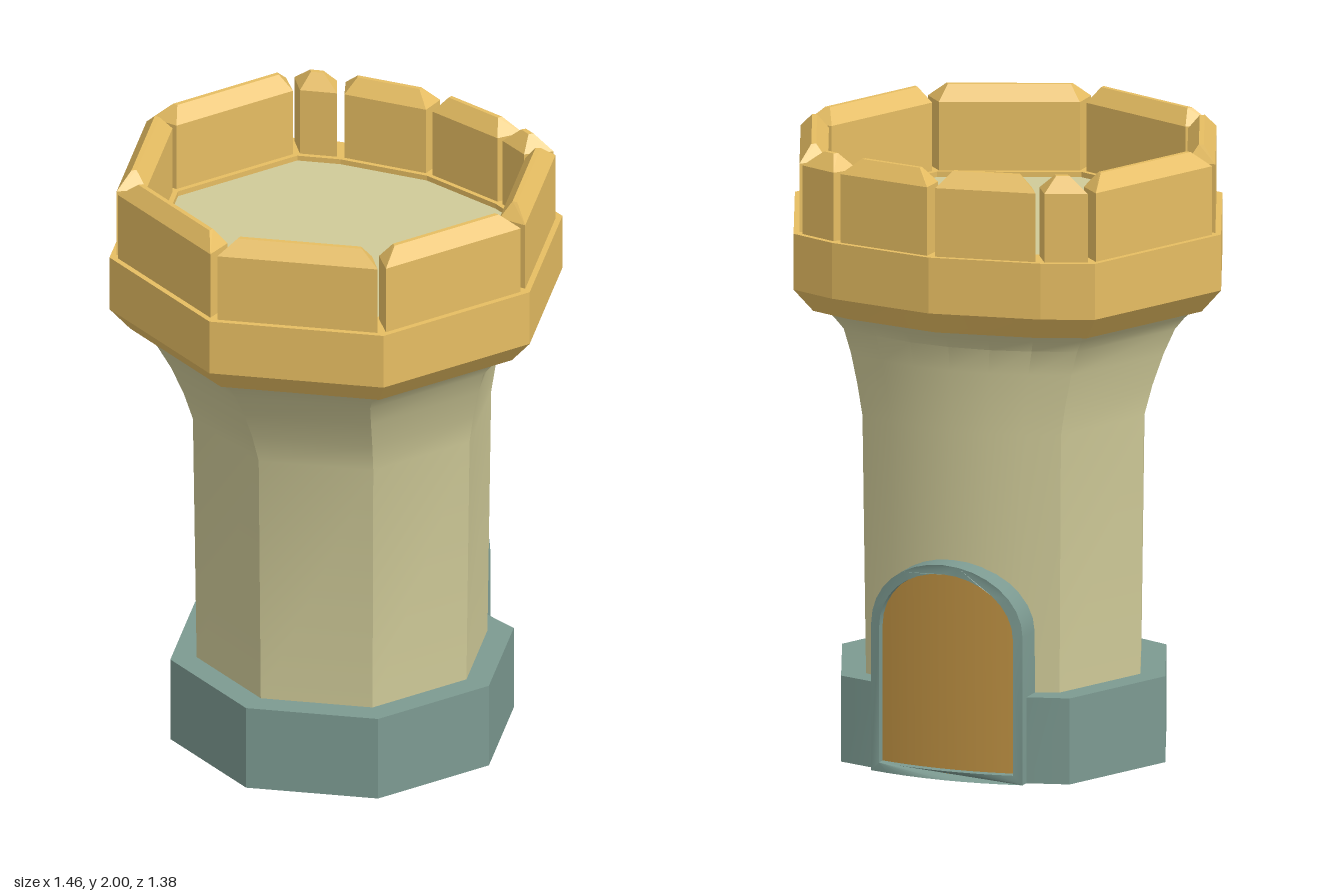
import * as THREE from 'three';
import { toCreasedNormals } from 'three/addons/utils/BufferGeometryUtils.js';
import { ConvexGeometry } from 'three/addons/geometries/ConvexGeometry.js';

const paint = (color) => new THREE.MeshStandardMaterial({ color });
const STONE = paint(0xcfca98), BASE = paint(0x7c9a91), CROWN = paint(0xe6bd62);
const DOOR = paint(0xbd9042);
DOOR.side = THREE.DoubleSide;

// Mirrors a half outline (front to back, x >= 0) into a closed loop
function mirrorOutline(half) {
  const other = half.slice(1, -1).reverse().map(([x, z]) => [-x, z]);
  return [...half, ...other];
}
const S = Math.SQRT1_2;
const octFront = [[0, 1], [S, S], [1, 0], [S, -S]];
const bodyOutline = mirrorOutline([...octFront, [0.47, -0.8], [0.24, -0.86], [0, -0.88]]);
const baseOutline = mirrorOutline([...octFront, [0.47, -0.775], [0.24, -0.81], [0, -0.82]]);
const crownOutline = mirrorOutline([...octFront, [0.49, -0.795], [0, -0.88]]);

// Skins an outline through levels [y, radius, centreZ]
function loft(outline, levels, crease) {
  const pos = [];
  const n = outline.length;
  const at = ([y, r, cz], i) => [outline[i % n][0] * r, y, outline[i % n][1] * r + cz];
  for (let k = 0; k < levels.length - 1; k++) {
    const lo = levels[k], hi = levels[k + 1];
    for (let i = 0; i < n; i++) {
      const a = at(lo, i), b = at(lo, i + 1), c = at(hi, i + 1), d = at(hi, i);
      if (lo[1] > 0) pos.push(...a, ...b, ...c);
      if (hi[1] > 0) pos.push(...a, ...c, ...d);
    }
  }
  const g = new THREE.BufferGeometry();
  g.setAttribute('position', new THREE.Float32BufferAttribute(pos, 3));
  return toCreasedNormals(g, crease);
}

// Merlon with a hipped top along one edge of the crown
const CROWN_Z = -0.045;
function merlon(p, q) {
  const len = Math.hypot(q[0] - p[0], q[1] - p[1]) * 0.7;
  const pts = [];
  const add = (r, y, inset) => {
    for (const t of [inset / len, 1 - inset / len]) {
      pts.push(new THREE.Vector3(
        THREE.MathUtils.lerp(p[0], q[0], t) * r, y,
        THREE.MathUtils.lerp(p[1], q[1], t) * r + CROWN_Z));
    }
  };
  for (const y of [1.72, 1.95]) {
    add(0.712, y, 0.014);
    add(0.615, y, 0.014);
  }
  add(0.672, 2, 0.06);
  add(0.655, 2, 0.06);
  return new ConvexGeometry(pts);
}

// Arched opening: height at x for a given half width, spring line and rise
const archY = (x, w, spring, rise) =>
  spring + rise * Math.sqrt(Math.max(0, 1 - (x / w) ** 2));

function archPoints(w, bottom, spring, rise) {
  const pts = [];
  for (let i = 0; i <= 8; i++) pts.push(new THREE.Vector2(-w + (2 * w * i) / 8, bottom));
  for (let i = 0; i <= 16; i++) {
    const a = (Math.PI * i) / 16;
    pts.push(new THREE.Vector2(w * Math.cos(a), spring + rise * Math.sin(a)));
  }
  return pts;
}

// Bends a geometry backwards away from x = 0
function bend(g) {
  const p = g.attributes.position;
  for (let i = 0; i < p.count; i++) p.setZ(i, p.getZ(i) + 0.5 * p.getX(i) ** 2);
  return g;
}

export function createModel() {
  const model = new THREE.Group();
  const add = (name, geometry, material, parent = model) => {
    const m = new THREE.Mesh(geometry, material);
    m.name = name;
    parent.add(m);
    return m;
  };

  // Plinth and its underside
  const bz = -0.08;
  add('plinth', loft(baseOutline, [[0, 0.555, bz], [0.28, 0.555, bz], [0.28, 0, bz]], 0.45), BASE);
  add('underside', loft(baseOutline, [[0, 0, bz], [0, 0.555, bz]], 0.45), STONE);

  // Shaft flaring out under the crown
  add('shaft', loft(bodyOutline, [
    [0.28, 0.47, bz], [1.12, 0.482, bz], [1.22, 0.505, -0.066],
    [1.32, 0.535, -0.047], [1.4, 0.567, -0.03], [1.44, 0.6, -0.03], [1.475, 0.64, -0.03],
  ], 0.5), STONE);

  // Crown ring, floor and merlons
  add('crown', loft(crownOutline, [
    [1.47, 0.6], [1.47, 0.665], [1.545, 0.732], [1.727, 0.732], [1.727, 0.597], [1.71, 0.597],
  ].map(([y, r]) => [y, r, CROWN_Z]), 0.2), CROWN);
  add('roofFloor', loft(crownOutline, [[1.71, 0.6, CROWN_Z], [1.71, 0, CROWN_Z]], 0.2), STONE);
  const merlons = new THREE.Group();
  merlons.name = 'merlons';
  model.add(merlons);
  crownOutline.forEach((p, i) =>
    add('merlon', merlon(p, crownOutline[(i + 1) % crownOutline.length]), CROWN, merlons));

  // Arched door frame at the back
  const frame = new THREE.Shape(archPoints(0.26, 0, 0.48, 0.22));
  frame.holes.push(new THREE.Path(archPoints(0.23, 0.03, 0.47, 0.2).reverse()));
  const frameGeo = new THREE.ExtrudeGeometry(frame, { depth: 0.14, bevelEnabled: false });
  frameGeo.translate(0, 0, -0.575);
  add('doorFrame', toCreasedNormals(bend(frameGeo), 0.6), BASE);

  // Curved door panel
  const panel = new THREE.PlaneGeometry(0.47, 1, 24, 1);
  const p = panel.attributes.position;
  for (let i = 0; i < p.count; i++) {
    p.setY(i, p.getY(i) < 0 ? 0.015 : archY(p.getX(i), 0.235, 0.475, 0.205));
    p.setZ(i, -0.546);
  }
  bend(panel);
  panel.rotateY(0);
  panel.computeVertexNormals();
  add('door', panel, DOOR);

  return model;
}
